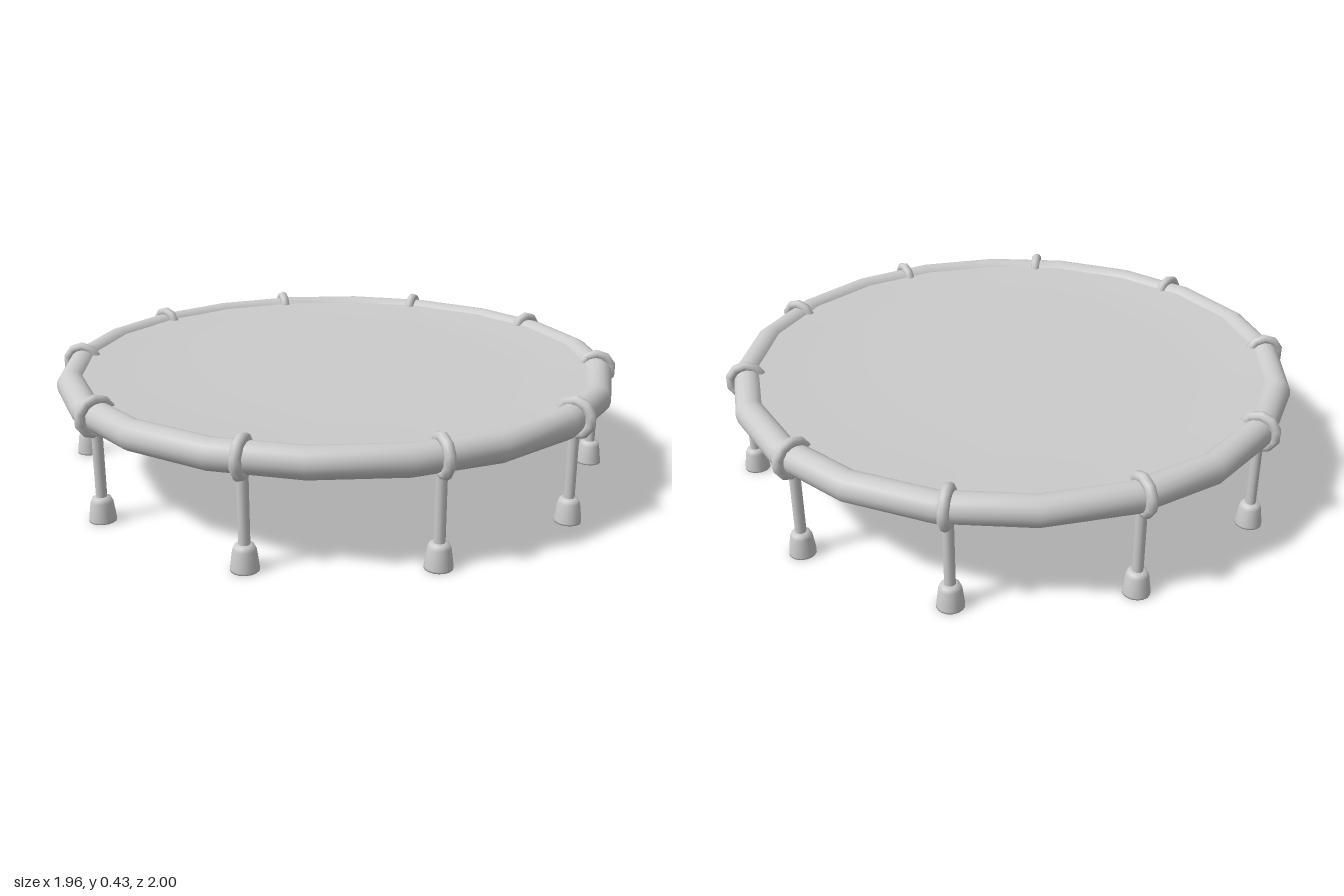
import * as THREE from 'three';

const RING_RADIUS = 0.93;
const RING_HEIGHT = 0.35;
// Leg directions in degrees, clockwise from the back when seen from above
const LEG_ANGLES = [0, 34.5, 70, 104.8, 141, 175.5, 210, 245.6, 283, 323];

const grey = new THREE.MeshStandardMaterial({ color: 0xcccccc });
const greyThin = new THREE.MeshStandardMaterial({ color: 0xcccccc, side: THREE.DoubleSide });

function part(name, geometry, material = grey) {
  const mesh = new THREE.Mesh(geometry, material);
  mesh.name = name;
  return mesh;
}

function lathe(points, segments) {
  return new THREE.LatheGeometry(points.map(([r, y]) => new THREE.Vector2(r, y)), segments);
}

export function createModel() {
  const model = new THREE.Group();
  model.name = 'trampoline';

  // Padded frame: a round tube bent in twenty straight steps
  const ring = part('frameRing', new THREE.TorusGeometry(RING_RADIUS, 0.05, 16, 20).rotateX(Math.PI / 2));
  ring.position.y = RING_HEIGHT;
  model.add(ring);

  // Jumping mat, dished slightly towards the middle
  model.add(part('mat', lathe([
    [0.92, 0.383], [0.85, 0.38], [0.76, 0.375], [0.66, 0.371], [0.4, 0.369], [0, 0.368],
  ].reverse(), 40), greyThin));

  // Shared leg geometries
  const clipGeometry = new THREE.TorusGeometry(0.055, 0.018, 10, 10).rotateZ(Math.PI / 2);
  const postGeometry = new THREE.CylinderGeometry(0.018, 0.018, 0.24, 12).translate(0, 0.19, 0);
  const footGeometry = lathe([
    [0, 0.004], [0.036, 0.004], [0.044, 0], [0.044, 0.006], [0.041, 0.03],
    [0.036, 0.066], [0.03, 0.079], [0.017, 0.083], [0, 0.083],
  ], 16);

  // Each leg has a clip around the frame, a post and a flared foot
  for (const degrees of LEG_ANGLES) {
    const angle = THREE.MathUtils.degToRad(degrees - 90);
    const leg = new THREE.Group();
    leg.name = 'leg';
    const clip = part('clip', clipGeometry);
    clip.position.y = RING_HEIGHT + 0.003;
    leg.add(clip, part('post', postGeometry), part('foot', footGeometry));
    leg.position.set(RING_RADIUS * Math.cos(angle), 0, RING_RADIUS * Math.sin(angle));
    leg.rotation.y = -angle;
    model.add(leg);
  }
  return model;
}
